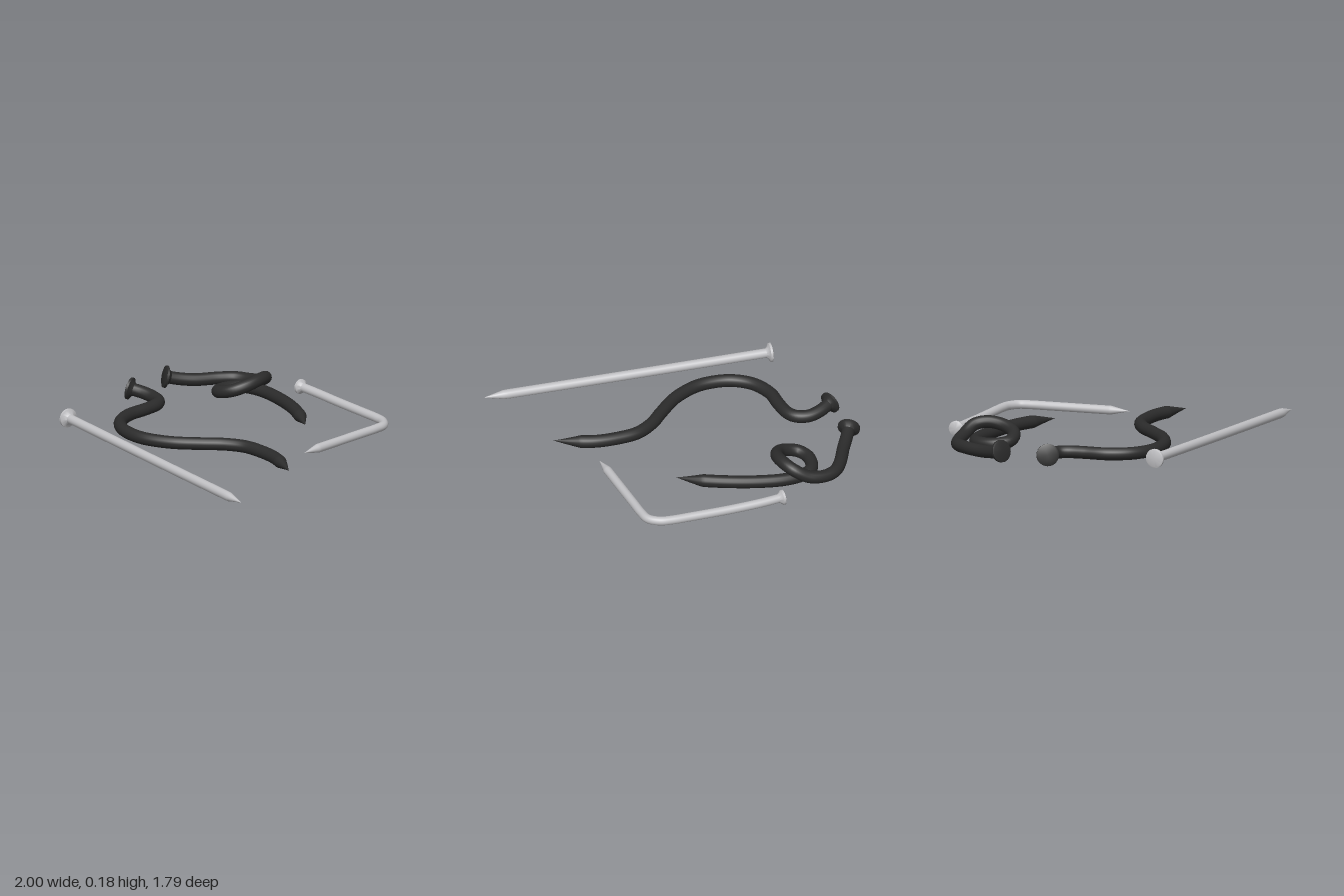
import * as THREE from 'three';
import { mergeVertices, toCreasedNormals } from 'three/addons/utils/BufferGeometryUtils.js';

const steel = new THREE.MeshStandardMaterial({ color: 0xc0c0c3 });
steel.name = 'bright steel';
const iron = new THREE.MeshStandardMaterial({ color: 0x2b2b2b });
iron.name = 'dark iron';

// Round shaft swept along the path, its far end narrowed to a point
function shaftGeometry(curve, radius, tipLength, segments) {
  const sides = 16;
  const length = curve.getLength();
  const geo = new THREE.TubeGeometry(curve, segments, radius, sides, false);
  const pos = geo.attributes.position;
  const v = new THREE.Vector3();
  for (let i = 0; i <= segments; i++) {
    const left = (1 - i / segments) * length;
    const k = Math.max(0.02, Math.min(1, left / tipLength));
    const centre = curve.getPointAt(i / segments);
    for (let j = 0; j <= sides; j++) {
      const n = i * (sides + 1) + j;
      v.fromBufferAttribute(pos, n).sub(centre).multiplyScalar(k).add(centre);
      pos.setXYZ(n, v.x, v.y, v.z);
    }
  }
  geo.deleteAttribute('normal');
  geo.deleteAttribute('uv');
  const joined = mergeVertices(geo, 1e-5);
  joined.computeVertexNormals();
  return joined;
}

// Flat disc head with a short flare into the shaft; its top faces +y
function headGeometry(shaftRadius, headRadius) {
  const profile = [
    [shaftRadius * 0.95, -0.035], [shaftRadius * 1.25, -0.022],
    [headRadius, -0.012], [headRadius, 0.002], [headRadius * 0.85, 0.006], [0, 0.007],
  ].map(([x, y]) => new THREE.Vector2(x, y));
  return toCreasedNormals(new THREE.LatheGeometry(profile, 28), 0.6);
}

// Points are [x, y, z] from the head to the tip
function makeNail(name, points, { radius, headRadius, tip, material, segments = 160 }) {
  const nail = new THREE.Group();
  nail.name = name;
  const curve = new THREE.CatmullRomCurve3(points.map((p) => new THREE.Vector3(...p)), false, 'centripetal');
  curve.arcLengthDivisions = 600;

  const shaft = new THREE.Mesh(shaftGeometry(curve, radius, tip, segments), material);
  shaft.name = 'shaft';

  const head = new THREE.Mesh(headGeometry(radius, headRadius), material);
  head.name = 'head';
  head.position.copy(curve.getPointAt(0));
  head.quaternion.setFromUnitVectors(new THREE.Vector3(0, 1, 0), curve.getTangentAt(0).negate());

  nail.add(shaft, head);
  return nail;
}

export function createModel() {
  const model = new THREE.Group();
  model.name = 'nails';

  const bright = { radius: 0.03, headRadius: 0.06, tip: 0.13, material: steel };
  const dark = { radius: 0.04, headRadius: 0.07, tip: 0.17, material: iron };

  model.add(
    makeNail('straightNail', [[-0.43, 0.08, -0.86], [-0.715, 0.06, 0.015], [-1, 0.043, 0.89]], { ...bright, segments: 60 }),

    makeNail('bentNail', [
      [0.95, 0.058, -0.08], [0.925, 0.052, 0.06], [0.875, 0.046, 0.27], [0.81, 0.045, 0.52],
      [0.78, 0.045, 0.63], [0.75, 0.045, 0.7], [0.69, 0.045, 0.75], [0.61, 0.045, 0.75],
      [0.5, 0.045, 0.734], [0.25, 0.045, 0.697], [0.1, 0.045, 0.675], [-0.02, 0.045, 0.66],
    ], { ...bright, radius: 0.028, headRadius: 0.047, tip: 0.12 }),

    makeNail('wavyNail', [
      [0.24, 0.082, -0.875], [0.265, 0.064, -0.78], [0.26, 0.052, -0.7], [0.22, 0.05, -0.635],
      [0.16, 0.05, -0.61], [0.05, 0.05, -0.615], [-0.09, 0.05, -0.635], [-0.23, 0.05, -0.6],
      [-0.33, 0.05, -0.51], [-0.38, 0.05, -0.4], [-0.395, 0.05, -0.28], [-0.355, 0.05, -0.11],
      [-0.265, 0.05, 0.05], [-0.19, 0.05, 0.17], [-0.15, 0.05, 0.3], [-0.165, 0.05, 0.43],
      [-0.21, 0.05, 0.57], [-0.285, 0.05, 0.69], [-0.355, 0.05, 0.785],
    ], dark),

    makeNail('loopedNail', [
      [0.54, 0.085, -0.82], [0.6, 0.066, -0.765], [0.68, 0.052, -0.69], [0.8, 0.05, -0.59],
      [0.865, 0.05, -0.51], [0.88, 0.053, -0.42], [0.86, 0.075, -0.32], [0.805, 0.125, -0.24],
      [0.72, 0.14, -0.22], [0.62, 0.125, -0.24], [0.555, 0.1, -0.295], [0.54, 0.078, -0.365],
      [0.565, 0.06, -0.43], [0.63, 0.05, -0.457], [0.705, 0.046, -0.44], [0.765, 0.044, -0.395],
      [0.785, 0.042, -0.32], [0.77, 0.042, -0.21], [0.715, 0.045, -0.07], [0.62, 0.05, 0.1],
      [0.51, 0.05, 0.245], [0.4, 0.05, 0.36],
    ], dark),
  );
  return model;
}
